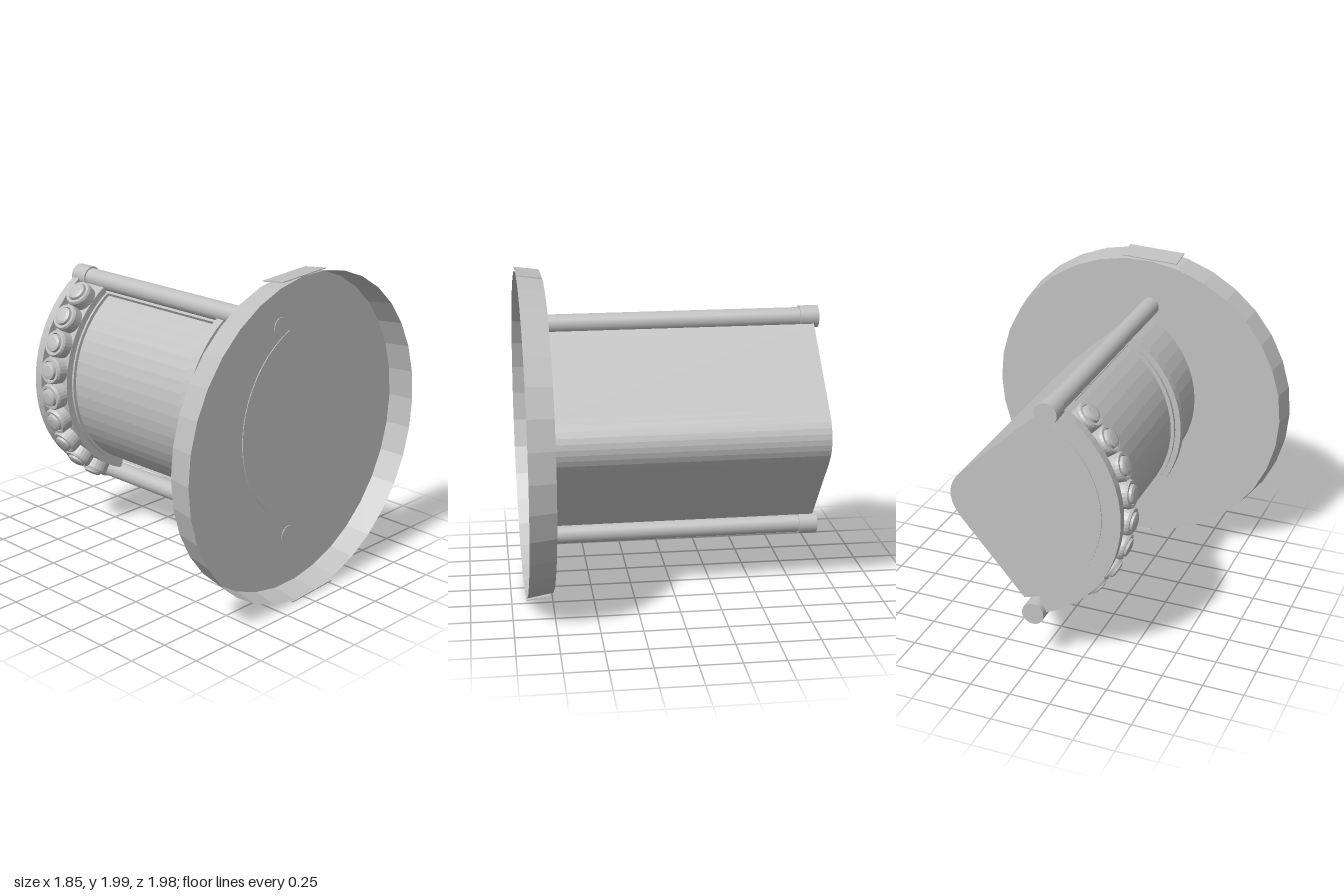
import * as THREE from 'three';

export function createModel() {
  const grey = new THREE.MeshStandardMaterial({ color: 0xc0c0c0 });
  grey.name = 'light grey';
  grey.side = THREE.DoubleSide;

  const model = new THREE.Group();
  model.name = 'model';
  model.rotation.y = 0.0125;

  // Main assembly lies along x and is rolled slightly about that axis
  const assembly = new THREE.Group();
  assembly.name = 'assembly';
  assembly.position.set(0, 1.007, 0.043);
  assembly.rotation.x = 0.076;
  model.add(assembly);

  const add = (parent, name, geometry) => {
    const mesh = new THREE.Mesh(geometry, grey);
    mesh.name = name;
    parent.add(mesh);
    return mesh;
  };
  const flat = (geometry) => {
    const g = geometry.toNonIndexed();
    g.computeVertexNormals();
    return g;
  };

  // Extrude a (-z, y) cross-section from x0 to x1
  const alongX = (shape, x0, x1) =>
    new THREE.ExtrudeGeometry(shape, { depth: x1 - x0, bevelEnabled: false, curveSegments: 10 })
      .rotateY(Math.PI / 2).translate(x0, 0, 0);

  const arcY = 0.018, arcZ = -0.27; // centre of the curved front
  const arcPoint = (r, a) => new THREE.Vector2(-(arcZ + r * Math.cos(a)), arcY + r * Math.sin(a));
  const arc = (r, a0, a1, n = 22) =>
    Array.from({ length: n + 1 }, (_, i) => arcPoint(r, a0 + (a1 - a0) * i / n));
  const band = (name, r0, r1, a0, a1, x0, x1) =>
    add(assembly, name, alongX(new THREE.Shape([...arc(r1, a0, a1), ...arc(r0, a1, a0)]), x0, x1));

  // Body: curved front, flat sides meeting in a rounded back edge
  const body = new THREE.Shape();
  arc(0.632, -1.25, 1.25).forEach((p, i) => (i ? body.lineTo(p.x, p.y) : body.moveTo(p.x, p.y)));
  body.lineTo(0.48, 0.17);
  body.quadraticCurveTo(0.655, 0, 0.48, -0.17);
  body.closePath();
  add(assembly, 'body', alongX(body, -0.89, 0.765));

  // Raised bands across the front
  band('endFlange', 0.6, 0.745, -1.1, 1.06, -0.885, -0.83);
  band('buttonBand', 0.6, 0.695, -1.13, 1.09, -0.83, -0.65);
  band('ringBase', 0.6, 0.655, -1.2, 1.17, 0.29, 0.4);
  band('ringRidge', 0.6, 0.69, -1.13, 1.09, 0.31, 0.365);

  // Frame strips around the smooth front panel
  band('upperFrame', 0.6, 0.652, 1.08, 1.17, -0.65, 0.29);
  band('lowerFrame', 0.6, 0.652, -1.19, -1.1, -0.65, 0.29);
  band('sideFrame', 0.6, 0.652, -1.15, 1.13, -0.65, -0.635);

  // Row of round stepped buttons
  const buttonShape = new THREE.LatheGeometry([
    [0.085, -0.09], [0.085, -0.02], [0.078, -0.005], [0.062, -0.005],
    [0.058, -0.015], [0.054, 0.008], [0.035, 0.015], [0, 0.017],
  ].map(([x, y]) => new THREE.Vector2(x, y)), 24);
  const buttonGeometry = flat(buttonShape.rotateX(Math.PI / 2));
  for (let i = -4; i <= 4; i++) {
    const a = i * 0.229;
    const p = arcPoint(0.772, a);
    const button = add(assembly, 'button', buttonGeometry);
    button.position.set(-0.735, p.y, -p.x);
    button.rotation.x = -a;
  }

  // Side rods with thicker end caps
  const rod = (name, r, x0, x1, y) =>
    add(assembly, name, new THREE.CylinderGeometry(r, r, x1 - x0, 24)
      .rotateZ(-Math.PI / 2).translate((x0 + x1) / 2, y, 0));
  for (const s of [1, -1]) {
    rod('rod', 0.058, -0.82, 0.765, s * 0.655);
    rod('rodCap', 0.068, -0.925, -0.81, s * 0.655);
  }

  // Large shallow dish, open towards +x
  const dish = new THREE.Group();
  dish.name = 'dish';
  dish.position.set(0, 1, 0.01);
  model.add(dish);
  const profile = [[0, 0.76], [0.963, 0.76], [0.988, 0.916]].map(([x, y]) => new THREE.Vector2(x, y));
  add(dish, 'dishShell', flat(new THREE.LatheGeometry(profile, 34).rotateZ(-Math.PI / 2)));

  // Overlapping ends of the rim wall at top and bottom
  for (const s of [1, -1]) {
    const seam = add(dish, 'rimSeam', new THREE.BoxGeometry(0.15, 0.006, 0.36));
    seam.position.set(0.84, s * 0.977, s * 0.07);
    seam.rotation.set(s * 0.04 * s, 0, s * 0.13);
  }
  return model;
}
